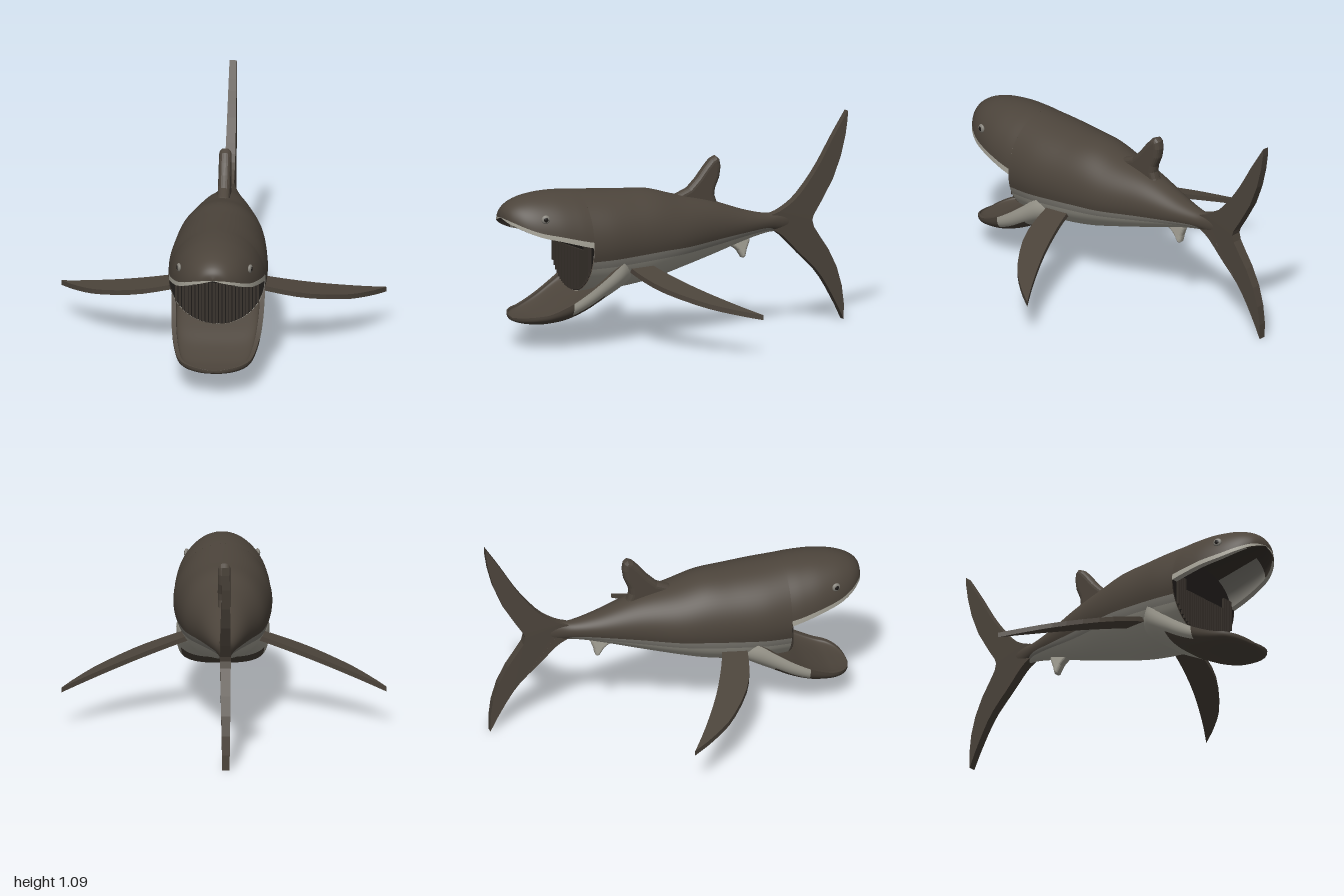
import * as THREE from 'three';

const mat = (name, color) => {
  const m = new THREE.MeshStandardMaterial({ color, side: THREE.DoubleSide });
  m.name = name;
  return m;
};
const { PI, asin, sin, cos, abs, sign, min, max } = Math;

// Smooth interpolation through rows of numbers, u in 0..1
function sample(rows, u) {
  const f = u * (rows.length - 1), i = min(Math.floor(f), rows.length - 2), t = f - i;
  const at = k => rows[max(0, min(rows.length - 1, k))];
  return rows[0].map((_, c) => {
    const [a, b, d, e] = [at(i - 1)[c], at(i)[c], at(i + 1)[c], at(i + 2)[c]];
    return b + 0.5 * t * (d - a + t * (2 * a - 5 * b + 4 * d - e + t * (3 * (b - d) + e - a)));
  });
}

// Surface from point(u, v); u runs nose to tail; pick(u, v) chooses the material
function loft(name, point, nu, nv, mats, { flip = false, pick = () => 0 } = {}) {
  const pos = [], lists = mats.map(() => []);
  for (let i = 0; i <= nu; i++) for (let j = 0; j <= nv; j++) pos.push(...point(i / nu, j / nv));
  for (let i = 0; i < nu; i++) for (let j = 0; j < nv; j++) {
    const a = i * (nv + 1) + j, b = a + nv + 1;
    const quad = [a, b, b + 1, a, b + 1, a + 1];
    lists[pick((i + 0.5) / nu, (j + 0.5) / nv)].push(...(flip ? quad.reverse() : quad));
  }
  const g = new THREE.BufferGeometry();
  g.setAttribute('position', new THREE.Float32BufferAttribute(pos, 3));
  g.setIndex(lists.flat());
  let start = 0;
  lists.forEach((l, k) => { g.addGroup(start, l.length, k); start += l.length; });
  g.computeVertexNormals();
  const mesh = new THREE.Mesh(g, mats.length > 1 ? mats : mats[0]);
  mesh.name = name;
  return mesh;
}

// Flat outline from smooth runs of points that meet at corners
function outline(runs) {
  const pts = runs.flatMap(r => new THREE.SplineCurve(r.map(p => new THREE.Vector2(...p))).getPoints(14));
  return new THREE.Shape(pts.filter((p, i) => i === 0 || p.distanceTo(pts[i - 1]) > 1e-4));
}

// Upright fin drawn in (z, y), centred on x = 0
function sideFin(name, runs, half, bevel, material) {
  const g = new THREE.ExtrudeGeometry(outline(runs), {
    depth: 2 * (half - bevel), bevelEnabled: bevel > 0, bevelThickness: bevel,
    bevelSize: bevel, bevelOffset: -bevel, bevelSegments: 4, curveSegments: 4,
  });
  g.translate(0, 0, bevel - half).rotateY(-PI / 2);
  const mesh = new THREE.Mesh(g, material);
  mesh.name = name;
  return mesh;
}

// z, top, middle, bottom, half width, flank line, belly line
const BODY = [
  [0.58, 0.80, 0.525, 0.27, 0.25, 0.45, 0.41], [0.45, 0.79, 0.53, 0.265, 0.256, 0.455, 0.415],
  [0.3, 0.78, 0.53, 0.275, 0.245, 0.465, 0.425], [0.15, 0.77, 0.53, 0.30, 0.228, 0.475, 0.435],
  [0, 0.73, 0.53, 0.34, 0.20, 0.48, 0.445], [-0.2, 0.685, 0.54, 0.395, 0.14, 0.495, 0.465],
  [-0.4, 0.618, 0.54, 0.455, 0.085, 0.51, 0.49], [-0.53, 0.588, 0.54, 0.485, 0.05, 0.515, 0.5],
  [-0.6, 0.59, 0.54, 0.488, 0.034, 0.49, 0.489], [-0.67, 0.59, 0.54, 0.488, 0.025, 0.488, 0.488],
  [-0.74, 0.57, 0.54, 0.5, 0.015, 0.5, 0.5],
];
// z, top, mouth rim, half width
const HEAD = [
  [1, 0.69, 0.682, 0], [0.99, 0.72, 0.662, 0.065], [0.965, 0.748, 0.645, 0.11],
  [0.92, 0.773, 0.62, 0.155], [0.85, 0.793, 0.592, 0.195], [0.75, 0.804, 0.568, 0.228],
  [0.65, 0.804, 0.542, 0.245], [0.58, 0.80, 0.525, 0.25],
];
// z, rim, underside, half width, inner floor
const JAW = [
  [0.93, 0.15, 0.142, 0, 0.146], [0.922, 0.158, 0.132, 0.07, 0.145], [0.9, 0.166, 0.126, 0.13, 0.145],
  [0.86, 0.175, 0.122, 0.175, 0.147], [0.8, 0.187, 0.121, 0.2, 0.157], [0.7, 0.23, 0.132, 0.222, 0.195],
  [0.6, 0.29, 0.165, 0.235, 0.25], [0.5, 0.36, 0.215, 0.24, 0.3], [0.4, 0.43, 0.265, 0.235, 0.35],
  [0.33, 0.42, 0.3, 0.19, 0.38],
];

export function createModel() {
  const skin = mat('dark skin', 0x4c443b), flank = mat('flank grey', 0x85827a);
  const belly = mat('belly grey', 0xaaa79b), gill = mat('gill brown', 0x38322c);
  const throat = mat('throat black', 0x1d1a18);
  const group = new THREE.Group();
  group.name = 'fish';
  const add = (...m) => group.add(...m);

  // Body in bands: dark back, grey flank stripes, pale belly
  const band = (name, m, range, nv) => add(loft(name, (u, v) => {
    const [z, top, mid, bot, w, l1, l2] = sample(BODY, u);
    const ang = l => asin(max(-1, min(0, (l - mid) / (mid - bot))));
    const [t0, t1] = range(ang(l1), ang(l2)), t = t0 + (t1 - t0) * v, s = sin(t);
    return [w * cos(t), mid + s * (s > 0 ? top - mid : mid - bot), z];
  }, 60, nv, [m]));
  band('back', skin, a => [a, PI - a], 40);
  band('leftFlankStripe', flank, (a, b) => [b, a], 4);
  band('rightFlankStripe', flank, (a, b) => [PI - a, PI - b], 4);
  band('belly', belly, (a, b) => [PI - b, 2 * PI + b], 24);

  // Upper head, pale lip edge and hollow palate
  const headPart = (name, m, range, nv) => add(loft(name, (u, v) => {
    const [z, top, rim, w] = sample(HEAD, u);
    const a = asin(min(0.25, (0.012 + 0.018 * u) / max(0.01, top - rim)));
    const [t0, t1] = range(a), t = t0 + (t1 - t0) * v;
    return [w * cos(t), rim + (top - rim) * sin(t), z];
  }, 40, nv, [m]));
  headPart('head', skin, a => [a, PI - a], 36);
  headPart('leftLip', belly, a => [0, a], 2);
  headPart('rightLip', belly, a => [PI - a, PI], 2);
  add(loft('palate', (u, v) => {
    const [z, top, rim, w] = sample(HEAD, u);
    return [0.86 * w * cos(PI * v), rim + 0.55 * (top - rim) * sin(PI * v), z];
  }, 40, 32, [gill, flank], { flip: true, pick: (u, v) => (u > 0.55 && abs(v - 0.5) > 0.2 ? 1 : 0) }));

  // Scoop-shaped lower jaw with pale cheeks
  const jawPoint = (u, v, k, inner) => {
    const [z, rim, bot, w, floor] = sample(JAW, u), t = PI * (1 + v), c = cos(t);
    const low = inner ? floor : bot;
    return [k * w * sign(c) * abs(c) ** 0.7, rim - (rim - low) * abs(sin(t)) ** 0.7, z];
  };
  add(loft('lowerJaw', (u, v) => jawPoint(u, v, 1, false), 54, 40, [skin, belly], {
    pick: (u, v) => {
      const z = sample(JAW, u)[0];
      return z < 0.5 || (z < 0.68 && abs(v - 0.5) > 0.33) ? 1 : 0;
    },
  }));
  add(loft('jawFloor', (u, v) => jawPoint(u, v, 0.9, true), 54, 32, [skin], { flip: true }));

  for (const s of [1, -1]) {
    const side = s > 0 ? 'left' : 'right';
    // Rims closing the mouth edges
    add(loft(side + 'MouthRim', (u, v) => {
      const [z, , rim, w] = sample(HEAD, u);
      return [s * w * (1 - 0.14 * v), rim, z];
    }, 40, 1, [skin, belly], { flip: s < 0, pick: u => (u > 0.3 ? 1 : 0) }));
    add(loft(side + 'JawRim', (u, v) => {
      const [z, rim, , w] = sample(JAW, u);
      return [s * w * (1 - 0.1 * v), rim, z];
    }, 54, 1, [skin], { flip: s > 0 }));

    // Eye with pupil
    const eye = new THREE.Group();
    eye.name = side + 'Eye';
    [[0.023, 0, flank, 'eyeRing'], [0.014, 0.006, throat, 'pupil']].forEach(([r, out, m, name]) => {
      const ball = new THREE.Mesh(new THREE.SphereGeometry(r, 16, 12), m);
      ball.scale.x = 0.5;
      ball.position.x = s * out;
      ball.name = name;
      eye.add(ball);
    });
    eye.position.set(s * 0.184, 0.685, 0.83);
    eye.rotation.y = -s * 0.25;
    add(eye);

    // Long swept pectoral fin, drooping outward
    const runs = [
      [[0.12, 0.35], [0.243, 0.344], [0.44, 0.29], [0.64, 0.155], [0.76, 0.02], [0.84, -0.1]],
      [[0.84, -0.1], [0.7, -0.01], [0.51, 0.095], [0.35, 0.165], [0.22, 0.21], [0.12, 0.23]],
    ].map(r => r.map(([x, z]) => [s * x, z]));
    const g = new THREE.ExtrudeGeometry(outline(runs), { depth: 0.026, bevelEnabled: false });
    g.rotateX(PI / 2).translate(0, 0.013, 0);
    const p = g.attributes.position;
    for (let i = 0; i < p.count; i++) p.setY(i, p.getY(i) + 0.375 - 0.29 * (abs(p.getX(i)) - 0.24));
    g.computeVertexNormals();
    const fin = new THREE.Mesh(g, skin);
    fin.name = side + 'PectoralFin';
    add(fin);
  }

  // Dark throat wall and comb of gill bars
  const wall = new THREE.Mesh(new THREE.CircleGeometry(1, 40), throat);
  wall.scale.set(0.246, 0.256, 1);
  wall.position.set(0, 0.527, 0.582);
  wall.name = 'throatWall';
  add(wall);
  const bars = new THREE.Group();
  bars.name = 'gillBars';
  for (let i = -12; i <= 12; i++) {
    const x = i * 0.0175, low = 0.527 - 0.25 * Math.sqrt(1 - (x / 0.246) ** 2);
    const high = abs(i) > 8 ? 0.56 : 0.5;
    const bar = new THREE.Mesh(new THREE.BoxGeometry(0.013, high - low, 0.012), gill);
    bar.position.set(x, (high + low) / 2, 0.588);
    bar.name = 'gillBar';
    bars.add(bar);
  }
  add(bars);

  // Dorsal fin and small pale underside fin
  add(sideFin('dorsalFin', [
    [[0.04, 0.68], [0.01, 0.72], [-0.07, 0.748], [-0.14, 0.815], [-0.195, 0.885], [-0.24, 0.912],
      [-0.265, 0.88], [-0.262, 0.81], [-0.232, 0.735], [-0.235, 0.695], [-0.26, 0.64]],
  ], 0.032, 0.026, skin));
  add(sideFin('analFin', [
    [[-0.28, 0.46], [-0.33, 0.43], [-0.365, 0.405], [-0.39, 0.367], [-0.41, 0.37], [-0.42, 0.41],
      [-0.435, 0.45], [-0.44, 0.49]],
  ], 0.022, 0.016, belly));

  // Crescent tail, thinner toward both tips
  const tail = sideFin('tailFin', [
    [[-0.56, 0.58], [-0.62, 0.602], [-0.71, 0.665], [-0.82, 0.8], [-0.92, 0.965], [-1, 1.09]],
    [[-1, 1.09], [-0.995, 1.02], [-0.965, 0.88], [-0.9, 0.72], [-0.81, 0.58], [-0.79, 0.535],
      [-0.81, 0.48], [-0.875, 0.39], [-0.94, 0.26], [-0.973, 0.12], [-0.975, 0]],
    [[-0.975, 0], [-0.92, 0.11], [-0.83, 0.255], [-0.71, 0.375], [-0.62, 0.465], [-0.56, 0.5]],
  ], 0.028, 0, skin);
  const tp = tail.geometry.attributes.position;
  for (let i = 0; i < tp.count; i++) tp.setX(i, tp.getX(i) * (1 - 0.6 * abs(tp.getY(i) - 0.54)));
  tail.geometry.computeVertexNormals();
  add(tail);

  return group;
}
